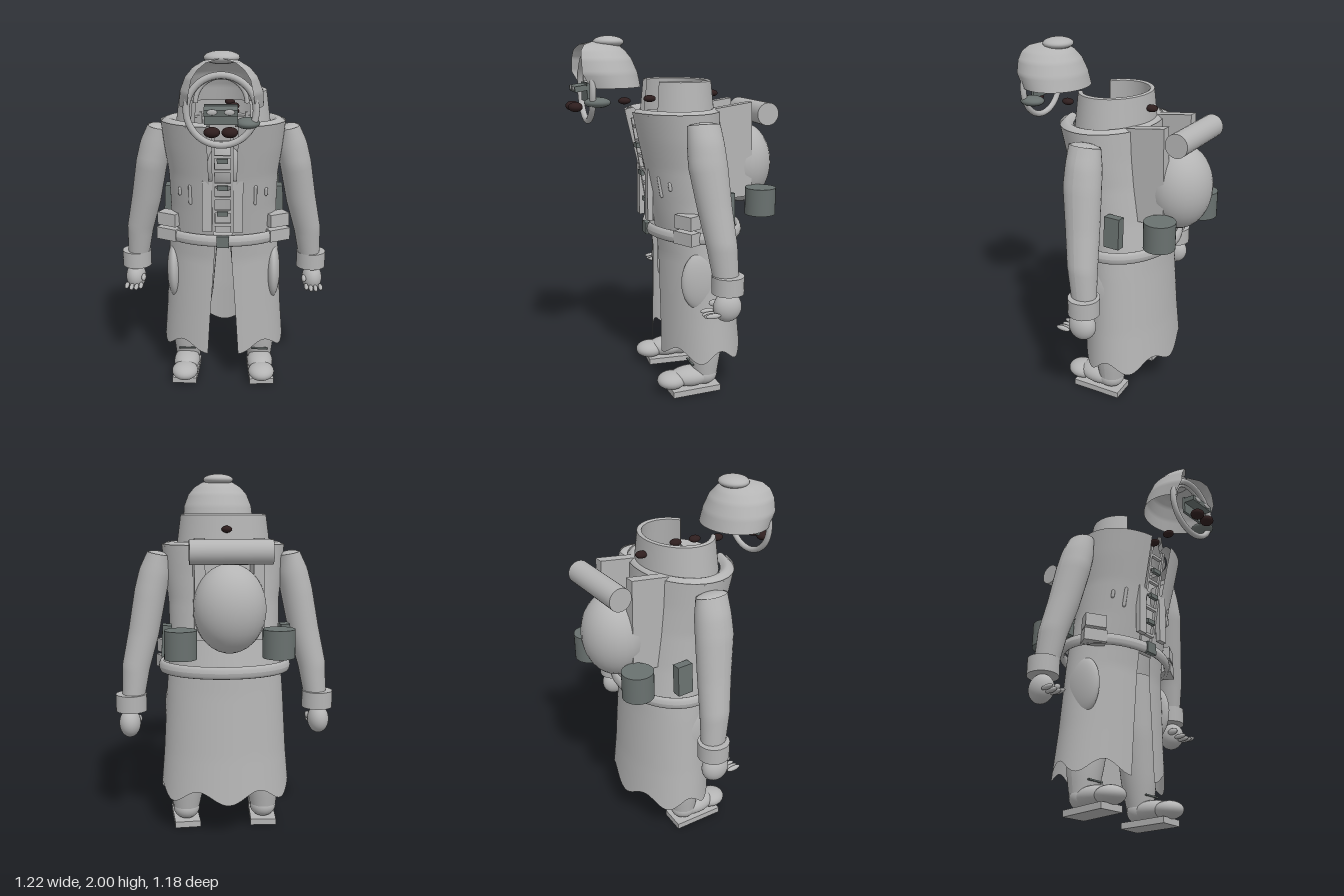
import * as THREE from 'three';

const mat = (name, color, side = THREE.FrontSide) => {
  const m = new THREE.MeshStandardMaterial({ color, side });
  m.name = name;
  return m;
};

// Samples rows [key, ...values] at key k with linear interpolation
function sample(rows, k) {
  let i = 0;
  while (i < rows.length - 2 && k > rows[i + 1][0]) i++;
  const a = rows[i], b = rows[i + 1];
  const t = THREE.MathUtils.clamp((k - a[0]) / (b[0] - a[0]), 0, 1);
  return a.map((v, j) => v + (b[j] - v) * t);
}

// Surface from a rule f(u, v) -> [x, y, z]
function surface(f, nu = 48, nv = 24) {
  const g = new THREE.PlaneGeometry(1, 1, nu, nv);
  const p = g.attributes.position;
  for (let j = 0; j <= nv; j++)
    for (let i = 0; i <= nu; i++) p.setXYZ(j * (nu + 1) + i, ...f(i / nu, j / nv));
  g.computeVertexNormals();
  return g;
}

export function createModel() {
  const model = new THREE.Group();
  model.name = 'hoodedExplorer';
  const grey = mat('clothGrey', 0xb4b4b4, THREE.DoubleSide);
  const dark = mat('darkMetal', 0x69716f);
  const brown = mat('darkBrown', 0x2e1e1e);

  const add = (name, geo, m, x = 0, y = 0, z = 0, rx = 0, ry = 0, rz = 0) => {
    const o = new THREE.Mesh(geo, m);
    o.name = name;
    o.position.set(x, y, z);
    o.rotation.set(rx, ry, rz);
    model.add(o);
    return o;
  };
  const box = (name, m, w, h, d, ...at) => add(name, new THREE.BoxGeometry(w, h, d), m, ...at);
  const ball = (name, m, rx, ry, rz, ...at) =>
    add(name, new THREE.SphereGeometry(1, 28, 18).scale(rx, ry, rz), m, ...at);

  // Coat skirt and bodice: rows of [y, half width, front z, back z, half gap]
  const coatRows = [
    [0.2, 0.365, 0.1, -0.395, 0.09], [0.45, 0.345, 0.1, -0.37, 0.075],
    [0.8, 0.325, 0.1, -0.345, 0.05], [0.93, 0.315, 0.115, -0.34, 0.045],
    [1.1, 0.305, 0.15, -0.31, 0.07], [1.3, 0.31, 0.19, -0.28, 0.075],
    [1.45, 0.33, 0.225, -0.26, 0.08], [1.6, 0.345, 0.26, -0.25, 0.085],
  ];
  const coatPoint = (u, y) => {
    const [, rx, zf, zb, gap] = sample(coatRows, y);
    const a0 = Math.asin(gap / rx);
    const a = a0 + u * (2 * Math.PI - 2 * a0);
    return [rx * Math.sin(a), y, (zf + zb) / 2 + ((zf - zb) / 2) * Math.cos(a)];
  };
  add('coatSkirt', surface((u, v) => {
    const hem = 0.237 - 0.035 * Math.cos(u * Math.PI * 12);
    return coatPoint(u, 0.94 + (hem - 0.94) * v);
  }, 96, 24), grey);
  add('coatBodice', surface((u, v) => coatPoint(u, 1.6 - 0.66 * v), 72, 28), grey);

  // Shoulder yoke closing in towards the collar
  add('shoulderYoke', surface((u, v) => {
    const p = coatPoint(u, 1.59);
    const k = 1 - 0.24 * v;
    return [p[0] * k, 1.59 + 0.025 * Math.sin(v * Math.PI), -0.01 + (p[2] + 0.01) * k];
  }, 64, 6), grey);

  // Standing collar, open at the front
  const collar = (inset, name) => add(name, surface((u, v) => {
    const a = 0.72 + u * (2 * Math.PI - 1.44);
    const r = 1 + 0.1 * v - inset;
    return [0.238 * r * Math.sin(a), 1.76 - 0.18 * v, -0.02 + 0.19 * r * Math.cos(a)];
  }, 56, 6), grey);
  collar(0, 'collarOuter');
  collar(0.12, 'collarInner');
  add('collarRim', surface((u, v) => {
    const a = 0.72 + u * (2 * Math.PI - 1.44);
    const r = 1 - 0.12 * v;
    return [0.238 * r * Math.sin(a), 1.76 + 0.006 * Math.sin(v * Math.PI), -0.02 + 0.19 * r * Math.cos(a)];
  }, 56, 4), grey);

  // Front fastening: rails, rungs and flat side plates
  for (const s of [-1, 1]) {
    box('fasteningRail', grey, 0.016, 0.58, 0.02, s * 0.05, 1.27, 0.165, 0.17);
    box('frontPlate', grey, 0.055, 0.29, 0.03, s * 0.085, 1.145, 0.162);
    add('coatFold', new THREE.CapsuleGeometry(0.01, 0.1, 4, 10), grey, s * 0.18, 1.2, 0.125, 0.17);
    add('coatDrop', new THREE.CapsuleGeometry(0.01, 0.03, 4, 10), grey, s * 0.24, 1.21, 0.088, 0.17);
  }
  for (let i = 0; i < 7; i++) {
    const y = 1.03 + i * 0.08, z = 0.13 + i * 0.012;
    box('fasteningRung', grey, 0.09, 0.016, 0.02, 0, y, z);
  }
  for (const y of [1.1, 1.255, 1.41])
    box('fasteningClasp', dark, 0.06, 0.026, 0.02, 0, y, 0.14 + (y - 1) * 0.16);

  // Belt, buckle and crossbar
  add('belt', surface((u, v) => {
    const a = u * Math.PI * 2, b = v * Math.PI * 2;
    const r = 0.018 * Math.cos(b);
    return [(0.35 + r) * Math.sin(a), 0.935 + 0.034 * Math.sin(b), -0.115 + (0.258 + r) * Math.cos(a)];
  }, 72, 12), grey);
  box('buckle', dark, 0.07, 0.066, 0.03, 0, 0.935, 0.152);
  add('crossbar', new THREE.CylinderGeometry(0.013, 0.013, 0.4, 12), grey, 0, 0.95, 0.065, 0, 0, Math.PI / 2);

  for (const s of [-1, 1]) {
    // Belt pouches, holsters and skirt pockets
    box('pouchFlap', grey, 0.12, 0.075, 0.08, s * 0.305, 1.028, 0.01, 0, s * 0.5);
    box('pouch', grey, 0.13, 0.07, 0.07, s * 0.31, 0.94, 0.015, 0, s * 0.5);
    box('holster', dark, 0.05, 0.17, 0.09, s * 0.325, 1.09, -0.2, 0, 0, s * 0.05);
    ball('skirtPocket', grey, 0.045, 0.17, 0.12, s * 0.292, 0.68, -0.08);

    // Sleeve: rows of [t, x, y, z, radius across, radius along z]
    const sleeve = [
      [0, 0.365, 1.55, -0.055, 0.06, 0.09], [0.12, 0.385, 1.45, -0.06, 0.085, 0.1],
      [0.25, 0.41, 1.34, -0.065, 0.088, 0.105], [0.5, 0.45, 1.12, -0.09, 0.084, 0.092],
      [0.75, 0.495, 0.93, -0.115, 0.076, 0.082], [1, 0.515, 0.74, -0.135, 0.06, 0.068],
    ];
    add('sleeve', surface((u, v) => {
      const [, x, y, z, r, rz] = sample(sleeve, v);
      const a = u * Math.PI * 2;
      return [s * (x + r * Math.cos(a)), y + 0.2 * r * Math.cos(a), z + rz * Math.sin(a)];
    }, 28, 28), grey);
    ball('shoulderCap', grey, 0.06, 0.025, 0.09, s * 0.365, 1.54, -0.055, 0, 0, s * 0.2);
    add('cuff', new THREE.CylinderGeometry(0.086, 0.086, 0.095, 28), grey, s * 0.525, 0.732, -0.14);

    // Hand with four fingers and a thumb reaching forward
    ball('hand', grey, 0.06, 0.08, 0.078, s * 0.535, 0.61, -0.135);
    for (let i = 0; i < 4; i++)
      ball('finger', grey, 0.013, 0.014, 0.042, s * (0.495 + i * 0.028), 0.578 + (i % 3 ? -0.003 : 0.006), -0.04);
    ball('thumb', grey, 0.014, 0.02, 0.035, s * 0.482, 0.62, -0.085);

    // Trouser leg
    const leg = [[0, 0.15, 0.86, -0.11, 0.115], [0.5, 0.18, 0.52, -0.12, 0.115],
      [0.85, 0.215, 0.24, -0.125, 0.098], [1, 0.222, 0.11, -0.125, 0.075]];
    add('trouserLeg', surface((u, v) => {
      const [, x, y, z, r] = sample(leg, v);
      const a = u * Math.PI * 2;
      return [s * (x + r * Math.cos(a)), y, z + r * Math.sin(a)];
    }, 28, 16), grey);
    box('ankleStrap', dark, 0.1, 0.008, 0.012, s * 0.222, 0.172, -0.038);

    // Boot and sole
    ball('bootToe', grey, 0.078, 0.05, 0.085, s * 0.23, 0.08, 0.075);
    ball('bootFoot', grey, 0.078, 0.058, 0.13, s * 0.225, 0.09, -0.04);
    ball('bootHeel', grey, 0.075, 0.065, 0.08, s * 0.222, 0.095, -0.12);
    box('bootSole', grey, 0.145, 0.035, 0.29, s * 0.225, 0.0175, -0.055, 0, s * 0.06);

    // Pack side frame
    const side = new THREE.Shape([[0.16, 1.61], [0.405, 1.645], [0.415, 1.12], [0.26, 1.11]]
      .map(([z, y]) => new THREE.Vector2(z, y)));
    add('packFrame', new THREE.ExtrudeGeometry(side, { depth: 0.056, bevelEnabled: false }),
      grey, s * 0.153 - 0.028, 0, 0, 0, Math.PI / 2);

    // Canister
    add('canister', new THREE.CylinderGeometry(0.085, 0.085, 0.15, 32), dark, s * 0.255, 1.105, -0.435);
  }

  // Pack bag and bedroll
  ball('packBag', grey, 0.19, 0.232, 0.175, 0, 1.285, -0.415);
  add('bedroll', new THREE.CylinderGeometry(0.063, 0.063, 0.42, 24), grey, 0, 1.578, -0.49, 0, 0, Math.PI / 2);

  // Hood: rows of [t, y, half width, back z, front edge z, front half gap]
  const hoodRows = [
    [0, 1.735, 0.21, 0.19, 0.485, 0.165], [0.25, 1.81, 0.205, 0.205, 0.53, 0.155],
    [0.5, 1.88, 0.178, 0.235, 0.53, 0.14], [0.7, 1.925, 0.14, 0.27, 0.525, 0.11],
    [0.88, 1.955, 0.09, 0.31, 0.5, 0.07], [1, 1.968, 0.015, 0.36, 0.45, 0.01],
  ];
  add('hood', surface((u, v) => {
    const [, y, rx, zb, zf, gap] = sample(hoodRows, v);
    const zc = zb + (zf - zb) * 0.6;
    const w = u * 2 - 1, k = Math.abs(w);
    // Quarter ellipse round the back, then a side that draws in to the front edge
    if (k < 0.65) {
      const a = (w / 0.65) * Math.PI / 2;
      return [rx * Math.sin(a), y, zc - (zc - zb) * Math.cos(a)];
    }
    const t = (k - 0.65) / 0.35;
    return [Math.sign(w) * (rx + (gap - rx) * t * t), y, zc + (zf - zc) * t];
  }, 60, 24), grey);
  ball('hoodPad', grey, 0.09, 0.033, 0.083, 0, 1.967, 0.357);
  add('faceRing', new THREE.TorusGeometry(0.17, 0.017, 12, 48), grey, 0, 1.725, 0.48);
  add('innerRing', new THREE.TorusGeometry(0.125, 0.012, 10, 32, Math.PI), grey, 0, 1.76, 0.46);

  // Face gear
  box('visorPlate', dark, 0.165, 0.1, 0.015, 0, 1.708, 0.485);
  box('visorBand', dark, 0.165, 0.03, 0.065, 0, 1.73, 0.525, 0.15);
  ball('sideFilter', dark, 0.06, 0.028, 0.07, 0.13, 1.66, 0.45);
  for (const s of [-1, 1]) {
    ball('visorLens', grey, 0.025, 0.014, 0.006, s * 0.042, 1.73, 0.557);
    ball('mouthBead', brown, 0.04, 0.026, 0.038, s * 0.043, 1.632, 0.55);
  }

  // Trail of floating beads
  for (const [x, y, z] of [[0, 1.685, -0.235], [0.035, 1.68, -0.11], [0.06, 1.675, 0.02], [0.06, 1.668, 0.147], [0.03, 1.657, 0.28]])
    ball('floatingBead', brown, 0.028, 0.019, 0.034, x, y, z);

  return model;
}
